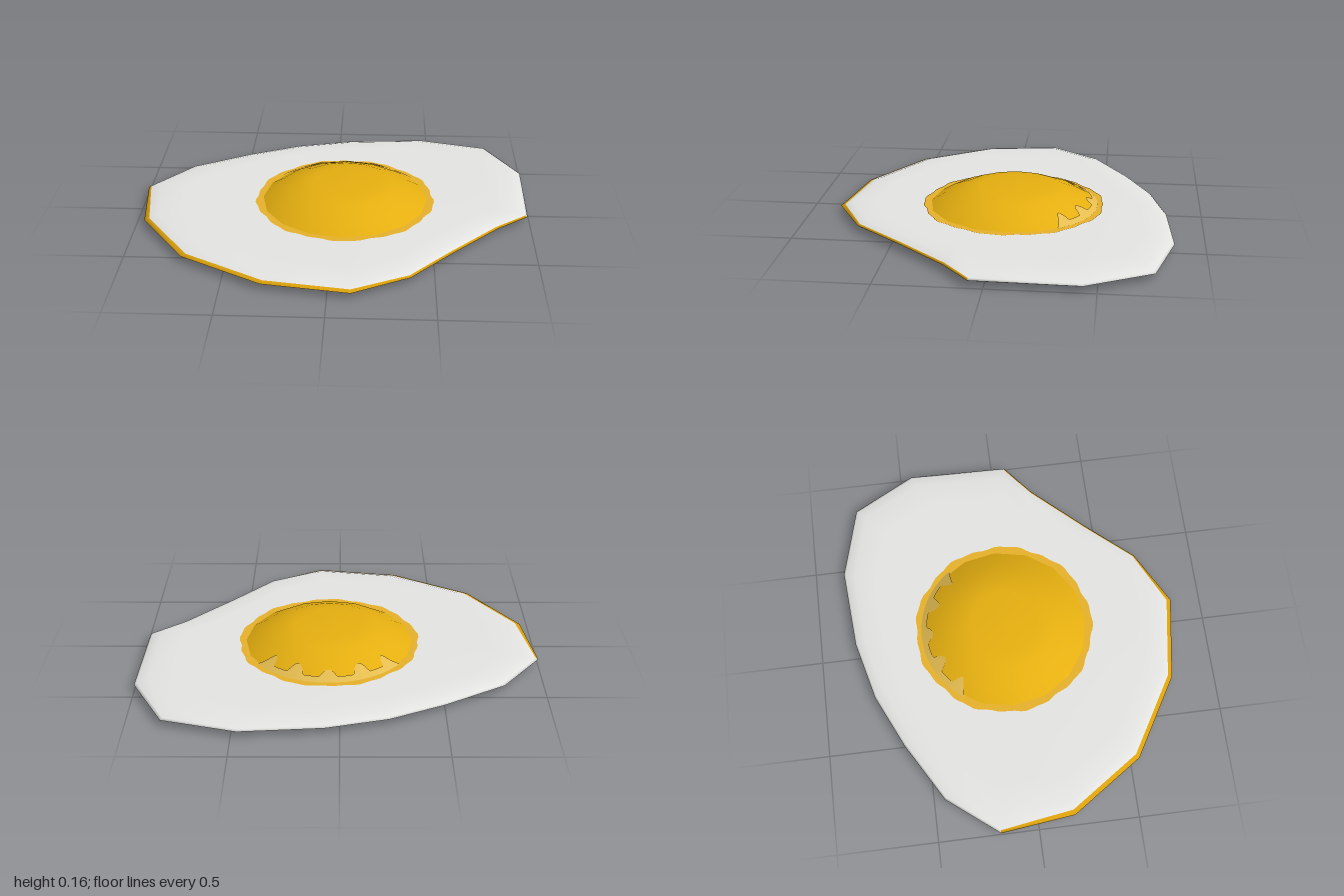
import * as THREE from 'three';

const CX = 0.055, CZ = -0.045; // yolk centre
const mat = (name, color, side = THREE.FrontSide) => {
  const m = new THREE.MeshStandardMaterial({ color, side });
  m.name = name;
  return m;
};

// Joins loops of [x, y, z] points, running from low/outer to high/inner; pick() gives each quad's material
function loft(rings, closed = true, pick = () => 0) {
  const n = rings[0].length, faces = [[], []];
  for (let k = 0; k < rings.length - 1; k++) {
    for (let i = 0; i < (closed ? n : n - 1); i++) {
      const j = (i + 1) % n;
      const a = k * n + i, b = k * n + j, c = b + n, d = a + n;
      faces[pick(k, i)].push(a, c, b, a, d, c);
    }
  }
  const geo = new THREE.BufferGeometry();
  geo.setAttribute('position', new THREE.Float32BufferAttribute(rings.flat(2), 3));
  geo.setIndex([...faces[0], ...faces[1]]);
  geo.addGroup(0, faces[0].length, 0);
  if (faces[1].length) geo.addGroup(faces[0].length, faces[1].length, 1);
  geo.computeVertexNormals();
  return geo;
}

// Loop around the yolk centre; r and y may depend on the angle
const circle = (n, r, y, from = 0, sweep = Math.PI * 2, open = false) =>
  Array.from({ length: n }, (_, i) => {
    const a = from + sweep * i / (open ? n - 1 : n), rad = r(a);
    return [CX + rad * Math.cos(a), y(rad), CZ + rad * Math.sin(a)];
  });

// Yolk section: radius, height
const DOME = [[0.43, 0.06], [0.35, 0.108], [0.25, 0.148], [0.17, 0.159], [0, 0.162]];
function domeHeight(r) {
  for (let i = 0; i < DOME.length - 1; i++) {
    const [r0, y0] = DOME[i], [r1, y1] = DOME[i + 1];
    if (r >= r1) return y0 + (y1 - y0) * Math.max(0, (r0 - r) / (r0 - r1));
  }
  return 0.162;
}

export function createModel() {
  const white = mat('egg white', 0xe4e4e2);
  const yellow = mat('yolk yellow', 0xe5af10);
  const ochre = mat('browned rim', 0xdda20c);
  const lipColor = mat('yolk lip', 0xe6b02a, THREE.DoubleSide);
  const pale = mat('pale film', 0xe4bc50, THREE.DoubleSide);
  const group = new THREE.Group();
  const add = (name, geo, material) => {
    const mesh = new THREE.Mesh(geo, material);
    mesh.name = name;
    group.add(mesh);
  };

  // Egg white: uneven outline, lofted from underside to top
  const outline = [
    [-1, -0.19], [-0.8, -0.445], [-0.5, -0.62], [-0.23, -0.745],
    [0.07, -0.82], [0.47, -0.85], [0.83, -0.755], [1, -0.44],
    [0.99, 0.07], [0.83, 0.2], [0.59, 0.46], [0.385, 0.695],
    [0.11, 0.845], [-0.31, 0.78], [-0.71, 0.545], [-0.955, 0.185],
  ];
  const band = i => (i >= 12 ? 0.975 : 0.987); // browned band is wider at the front left
  const sections = [
    [0, 0.004], [0.8, 0.004], [0.925, 0.011], [0.988, 0.027], [1, 0.033],
    [band, 0.041], [0.93, 0.055], [0.8, 0.06], [0, 0.061],
  ];
  const rings = sections.map(([s, y]) => outline.map(([x, z], i) => {
    const f = typeof s === 'function' ? s(i) : s;
    return [CX + (x - CX) * f, y, CZ + (z - CZ) * f];
  }));
  const browned = (k, i) => ((k === 4 && i >= 8) || (k === 3 && i >= 11) ? 1 : 0);
  add('eggWhite', loft(rings, true, browned), [white, ochre]);

  // Yolk dome
  add('yolk', loft(DOME.map(([r, y]) => circle(16, () => r, () => y))), yellow);

  // Thin wavy lip around the yolk
  const wavy = a => 0.456 + 0.005 * Math.sin(9 * a) + 0.004 * Math.sin(23 * a + 1);
  add('yolkLip', loft([
    circle(96, wavy, () => 0.0635),
    circle(96, () => 0.4, () => 0.0635),
  ]), lipColor);

  // Pale film dripping over the back of the yolk
  const drip = a => 0.4 - 0.055 * Math.pow(Math.max(0, Math.cos(15 * (a + Math.PI / 2))), 0.7)
    * (0.8 + 0.2 * Math.sin(5 * a));
  const film = [0, 0.25, 0.5, 0.75, 1].map(t => circle(97,
    a => 0.428 + (drip(a) - 0.428) * t * Math.min(1, 4 * Math.cos((a + Math.PI / 2) * 1.6)),
    r => domeHeight(r) + 0.005, -Math.PI / 2 - 0.95, 1.9, true));
  add('yolkFilm', loft(film, false), pale);

  // Yolk showing through the underside
  const under = new THREE.CircleGeometry(0.45, 40).rotateX(Math.PI / 2).translate(CX, 0, CZ);
  add('yolkUnderside', under, yellow);

  return group;
}
